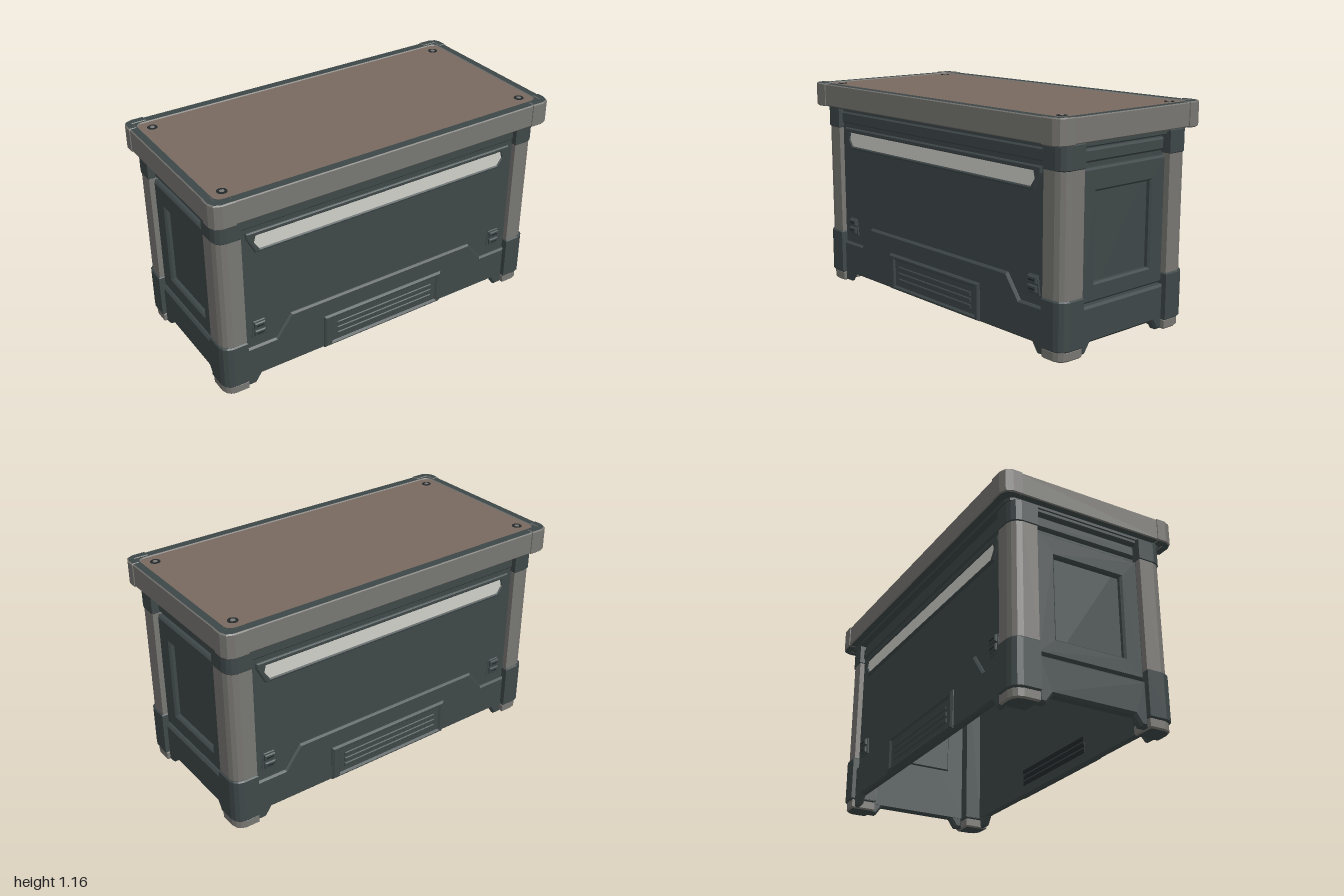
import * as THREE from 'three';

const mat = (name, color) => {
  const m = new THREE.MeshStandardMaterial({ color });
  m.name = name;
  return m;
};

export function createModel() {
  const slate = mat('darkSlate', 0x3e4748);
  const grey = mat('warmGrey', 0x777672);
  const brown = mat('brownTop', 0x79695f);
  const light = mat('lightStrip', 0xd0d0ca);
  const black = mat('nearBlack', 0x23292b);

  const root = new THREE.Group();
  root.name = 'storageCrate';

  const add = (parent, name, geo, material) => {
    const m = new THREE.Mesh(geo, material);
    m.name = name;
    parent.add(m);
    return m;
  };
  const toShape = (pts) => new THREE.Shape(pts.map(([x, y]) => new THREE.Vector2(x, y)));
  // Mirror a half outline (x > 0, bottom to top) into a closed outline
  const sym = (half) => [...half, ...half.map(([x, y]) => [-x, y]).reverse()];
  const rect = (x0, y0, x1, y1) => [[x0, y0], [x1, y0], [x1, y1], [x0, y1]];

  // Bevelled plate whose thickness runs from z0 to z1, with optional holes
  const plate = (pts, z0, z1, bevel = 0.006, holes = []) => {
    const s = toShape(pts);
    s.holes.push(...holes.map(toShape));
    const g = new THREE.ExtrudeGeometry(s, {
      depth: z1 - z0 - 2 * bevel, bevelEnabled: bevel > 0, bevelThickness: bevel,
      bevelSize: bevel, bevelOffset: -bevel, bevelSegments: 1,
    });
    return g.translate(0, 0, z0 + bevel);
  };
  // Same plate laid flat: outline in x/z, thickness from y0 to y1
  const slab = (pts, y0, y1, bevel, holes = []) => {
    const flip = (p) => p.map(([x, z]) => [x, -z]).reverse();
    return plate(flip(pts), y0, y1, bevel, holes.map(flip)).rotateX(-Math.PI / 2);
  };
  // Rectangle with cut or rounded corners
  const cornered = (w, d, r, steps) => {
    const pts = [];
    for (let c = 0; c < 4; c++) {
      const sx = c === 0 || c === 3 ? 1 : -1, sz = c < 2 ? 1 : -1;
      for (let i = 0; i <= steps; i++) {
        const a = (c + i / steps) * Math.PI / 2;
        pts.push([sx * (w - r) + Math.cos(a) * r, sz * (d - r) + Math.sin(a) * r]);
      }
    }
    return pts;
  };

  // Lid: grey-sided rim, underside and brown work surface
  const lid = new THREE.Group();
  lid.name = 'lid';
  root.add(lid);
  const inner = cornered(0.947, 0.44, 0.035, 4);
  add(lid, 'lidRim', slab(cornered(0.995, 0.495, 0.055, 3), 1.034, 1.157, 0.005, [inner]), [slate, grey]);
  add(lid, 'lidUnderside', slab(cornered(0.955, 0.45, 0.04, 2), 1.02, 1.06, 0), slate);
  add(lid, 'lidBoard', slab(cornered(0.95, 0.443, 0.035, 4), 1.06, 1.152, 0), brown);

  // Pieces repeated at the four corners
  for (const sx of [-1, 1]) for (const sz of [-1, 1]) {
    const at = (pts) => pts.map(([x, z]) => [x * sx, z * sz]);
    const postOutline = (x, z, g = 0) => at([
      [0.835 - g, 0.30 - g], [x, 0.30 - g], [x, z - 0.055], [x - 0.009, z - 0.027],
      [x - 0.027, z - 0.009], [x - 0.055, z], [0.835 - g, z],
    ]);
    const corner = new THREE.Group();
    corner.name = 'corner';
    root.add(corner);
    add(corner, 'foot', slab(postOutline(0.962, 0.438), 0, 0.055, 0.008), [slate, grey]);
    add(corner, 'lowerBlock', slab(postOutline(0.97, 0.446, 0.003), 0.05, 0.30, 0.007), slate);
    add(corner, 'post', slab(postOutline(0.963, 0.438), 0.295, 0.912, 0.004), grey);
    add(corner, 'innerColumn', slab(at(rect(0.828, 0.293, 0.89, 0.385)), 0.06, 1.03, 0), slate);
    add(corner, 'upperBlock', slab(postOutline(0.967, 0.442, 0.003), 0.905, 1.03, 0.007), slate);
    add(corner, 'lidCorner', slab(at([
      [0.88, 0.452], [0.88, 0.5], [0.95, 0.5], [0.985, 0.485], [1, 0.45],
      [1, 0.40], [0.955, 0.40], [0.955, 0.452],
    ]), 1.03, 1.16, 0.006), [slate, grey]);

    // Screws sunk into the lid
    const ring = add(lid, 'screwRing', new THREE.CylinderGeometry(0.026, 0.026, 0.004, 16), black);
    ring.position.set(0.885 * sx, 1.152, 0.375 * sz);
    const head = add(lid, 'screwHead', new THREE.CylinderGeometry(0.013, 0.015, 0.004, 6), grey);
    head.position.set(0.885 * sx, 1.1535, 0.375 * sz);
  }

  // Long walls, front and back
  const longWall = (name) => {
    const g = new THREE.Group();
    g.name = name;
    add(g, 'wallPanel', plate(rect(-0.84, 0.06, 0.84, 1.03), 0.385, 0.41, 0), slate);
    add(g, 'topRail', plate(rect(-0.835, 0.935, 0.835, 1.0), 0.40, 0.42, 0.008), slate);
    add(g, 'skirt', plate(sym([
      [0.75, 0.055], [0.785, 0.005], [0.835, 0.005], [0.835, 0.24], [0.66, 0.24], [0.57, 0.36],
    ]), 0.39, 0.426, 0.01), slate);

    // Light strip in its tapered frame
    const strip = sym([[0.73, 0.81], [0.758, 0.85], [0.748, 0.887]]);
    add(g, 'stripFrame', plate(sym([[0.755, 0.793], [0.80, 0.88], [0.80, 0.912]]),
      0.40, 0.424, 0.006, [strip]), slate);
    add(g, 'lightStrip', plate(strip, 0.41, 0.418, 0), light);

    // Vent housing with slats
    add(g, 'ventFrame', plate(rect(-0.38, 0.06, 0.375, 0.26), 0.40, 0.44, 0.01,
      [rect(-0.33, 0.085, 0.34, 0.23)]), slate);
    add(g, 'ventBack', plate(rect(-0.34, 0.08, 0.35, 0.235), 0.41, 0.43, 0), slate);
    for (let i = 0; i < 3; i++) {
      const y = 0.11 + i * 0.034;
      add(g, 'ventSlat', plate(rect(-0.30, y, 0.31, y + 0.022), 0.425, 0.436, 0.004), slate);
      add(g, 'innerSlot', plate(rect(-0.30, y, 0.31, y + 0.024), 0.381, 0.386, 0), black);
    }

    // Clips above the skirt
    for (const s of [-1, 1]) {
      add(g, 'clipBase', plate(sym([[0.045, 0.29], [0.033, 0.388]]).map(([x, y]) => [x + 0.75 * s, y]),
        0.40, 0.416, 0.004), slate);
      for (const y of [0.303, 0.348]) {
        add(g, 'clip', plate(rect(0.75 * s - 0.03, y, 0.75 * s + 0.03, y + 0.034), 0.41, 0.429, 0.005), slate);
        add(g, 'clipSlot', plate(rect(0.75 * s - 0.02, y + 0.012, 0.75 * s + 0.02, y + 0.02), 0.426, 0.43, 0), black);
      }
    }
    root.add(g);
    return g;
  };
  longWall('frontWall');
  longWall('backWall').rotation.y = Math.PI;

  // Short end walls, drawn facing +z and turned to each side
  const endWall = (name) => {
    const g = new THREE.Group();
    g.name = name;
    const opening = rect(-0.192, 0.345, 0.192, 0.785);
    add(g, 'endPanel', plate(rect(-0.31, 0.06, 0.31, 1.03), 0.89, 0.912, 0), slate);
    add(g, 'endFrame', plate(rect(-0.298, 0.25, 0.298, 0.90), 0.90, 0.94, 0.01, [opening]), slate);
    add(g, 'innerInset', plate(opening, 0.878, 0.895, 0.006), slate);
    add(g, 'endRail', plate(rect(-0.29, 0.925, 0.29, 0.99), 0.90, 0.935, 0.01), slate);
    add(g, 'endCornice', plate(rect(-0.298, 1.0, 0.298, 1.03), 0.90, 0.945, 0.006), slate);
    add(g, 'endSkirt', plate(sym([
      [0.225, 0.055], [0.26, 0.005], [0.30, 0.005], [0.30, 0.24],
    ]), 0.895, 0.95, 0.012), slate);
    root.add(g);
    return g;
  };
  endWall('leftWall').rotation.y = Math.PI / 2;
  endWall('rightWall').rotation.y = -Math.PI / 2;

  return root;
}
